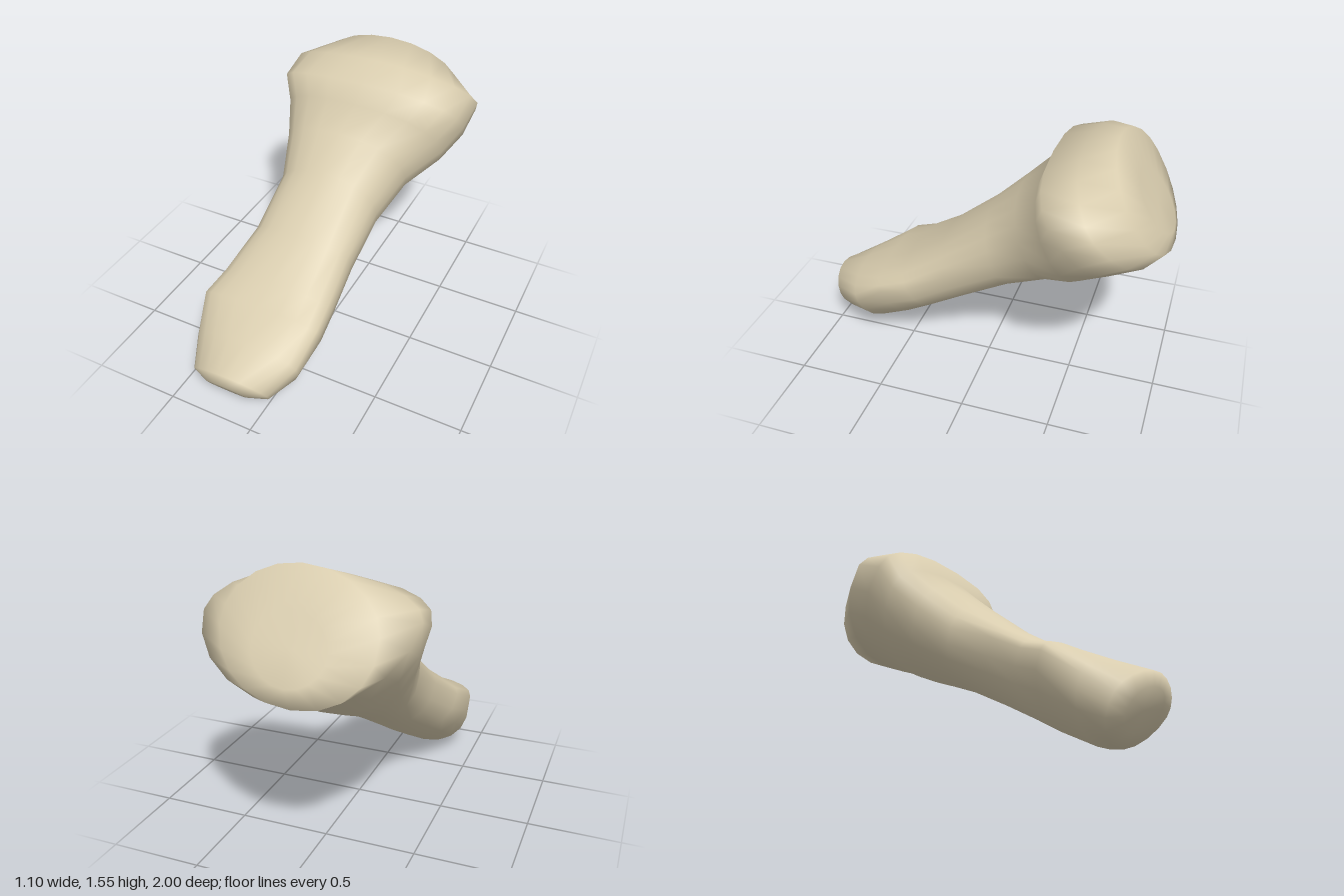
import * as THREE from 'three';

const SEGMENTS = 20;

// Cross-sections from the small end to the large head:
// [top z, top y, bottom z, bottom y, min x, max x, skew,
//  upper power, lower power, height of widest point on -x side, on +x side]
// A power below 1 makes that half of the loop boxier; heights run from -1 to 1.
const SECTIONS = [
  [1.00, 0.27, 0.87, 0.06, -0.30, -0.05, 0.04, 1.0, 1.0, 0.1, 0.1],
  [1.00, 0.355, 0.80, 0.00, -0.40, 0.07, 0.06, 1.1, 1.1, 0.1, 0.2],
  [0.82, 0.44, 0.69, 0.04, -0.46, 0.165, 0.04, 0.95, 1.0, 0.3, 0.3],
  [0.64, 0.53, 0.47, 0.17, -0.50, 0.215, 0.00, 0.85, 1.0, 0.5, 0.5],
  [0.50, 0.60, 0.32, 0.27, -0.455, 0.205, 0.00, 0.9, 0.95, 0.45, 0.3],
  [0.27, 0.77, 0.10, 0.41, -0.38, 0.20, 0.00, 0.9, 0.9, 0.4, 0.2],
  [0.00, 1.01, -0.15, 0.56, -0.37, 0.22, 0.00, 0.95, 0.9, 0.1, 0.0],
  [-0.17, 1.17, -0.40, 0.68, -0.43, 0.30, 0.00, 0.9, 0.95, 0.2, 0.0],
  [-0.30, 1.30, -0.60, 0.78, -0.495, 0.44, 0.00, 0.85, 0.95, 0.3, 0.0],
  [-0.34, 1.41, -0.77, 0.88, -0.545, 0.53, 0.00, 0.8, 0.95, 0.4, 0.15],
  [-0.50, 1.48, -0.94, 0.95, -0.55, 0.55, 0.00, 1.05, 1.05, 0.4, 0.2],
  [-0.67, 1.55, -1.00, 0.97, -0.42, 0.37, 0.04, 1.0, 0.95, 0.1, 0.0],
  [-0.79, 1.37, -0.99, 1.06, -0.20, 0.18, 0.02, 1.0, 1.0, 0.0, 0.0],
];

// Point on a section; u runs across, v runs from bottom (-1) to top (1)
function sectionPoint([tz, ty, bz, by, x0, x1, skew], u, v) {
  const t = (v + 1) / 2;
  return [
    (x0 + x1) / 2 + (u * (x1 - x0)) / 2 + skew * v,
    by + (ty - by) * t,
    bz + (tz - bz) * t,
  ];
}

function loftGeometry() {
  const positions = [];
  const indices = [];
  const bend = (n, power) => Math.sign(n) * Math.abs(n) ** power;

  for (const s of SECTIONS) {
    for (let j = 0; j < SEGMENTS; j++) {
      const a = (j / SEGMENTS) * Math.PI * 2;
      const power = Math.sin(a) >= 0 ? s[7] : s[8];
      const u = bend(Math.cos(a), power);
      const rise = bend(Math.sin(a), power);
      const widest = u < 0 ? s[9] : s[10];
      positions.push(...sectionPoint(s, u, rise + widest * (1 - Math.abs(rise))));
    }
  }

  // Side walls
  const last = SECTIONS.length - 1;
  for (let i = 0; i < last; i++) {
    for (let j = 0; j < SEGMENTS; j++) {
      const k = (j + 1) % SEGMENTS;
      const a = i * SEGMENTS + j;
      const b = i * SEGMENTS + k;
      indices.push(a, a + SEGMENTS, b, b, a + SEGMENTS, b + SEGMENTS);
    }
  }

  // Closed ends
  const front = positions.length / 3;
  positions.push(...sectionPoint(SECTIONS[0], 0, 0));
  positions.push(...sectionPoint(SECTIONS[last], 0, 0));
  for (let j = 0; j < SEGMENTS; j++) {
    const k = (j + 1) % SEGMENTS;
    indices.push(front, j, k);
    indices.push(front + 1, last * SEGMENTS + k, last * SEGMENTS + j);
  }

  const geometry = new THREE.BufferGeometry();
  geometry.setAttribute('position', new THREE.Float32BufferAttribute(positions, 3));
  geometry.setIndex(indices);
  geometry.computeVertexNormals();
  return geometry;
}

export function createModel() {
  const boneMaterial = new THREE.MeshStandardMaterial({ color: 0xd8ccae });
  boneMaterial.name = 'bone';

  const group = new THREE.Group();
  group.name = 'fingerBone';
  const bone = new THREE.Mesh(loftGeometry(), boneMaterial);
  bone.name = 'bone';
  group.add(bone);
  return group;
}
